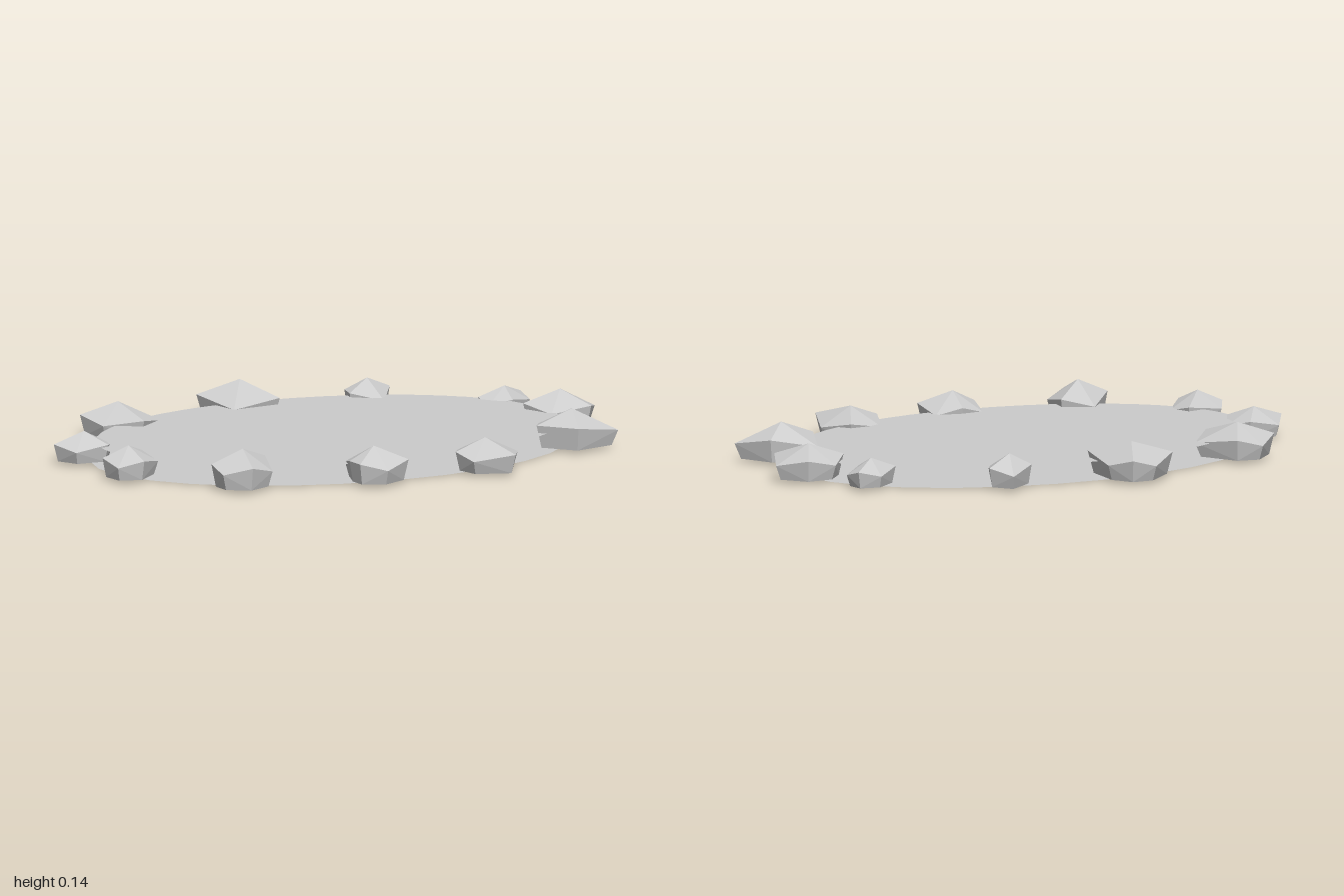
import * as THREE from 'three';
import { ConvexGeometry } from 'three/addons/geometries/ConvexGeometry.js';

const stone = new THREE.MeshStandardMaterial({ color: 0xcccccc, side: THREE.DoubleSide });
stone.name = 'pale grey';

// Flat horizontal ellipse
function disc(name, x, y, z, rx, rz, sides) {
  const geo = new THREE.CircleGeometry(1, sides).rotateX(-Math.PI / 2).scale(rx, 1, rz);
  const mesh = new THREE.Mesh(geo, stone);
  mesh.name = name;
  mesh.position.set(x, y, z);
  return mesh;
}

// Faceted stone: a zigzag rim, a flat narrower base and a low peak
function rock(name, top, outline) {
  const n = outline.length;
  const cx = outline.reduce((s, p) => s + p[0], 0) / n;
  const cz = outline.reduce((s, p) => s + p[1], 0) / n;
  const base = 0.012;
  const points = [new THREE.Vector3(cx, top, cz)];
  outline.forEach(([x, z], i) => {
    const rim = base + (top - base) * (i % 2 ? 0.42 : 0.62);
    points.push(new THREE.Vector3(x, rim, z));
    points.push(new THREE.Vector3(cx + (x - cx) * 0.86, base, cz + (z - cz) * 0.86));
  });
  const mesh = new THREE.Mesh(new ConvexGeometry(points), stone);
  mesh.name = name;
  return mesh;
}

export function createModel() {
  const pond = new THREE.Group();
  pond.name = 'pond';

  // Pond bed and water surface
  pond.add(disc('pondBed', -0.02, 0, 0.02, 0.862, 0.58, 28));
  pond.add(disc('waterSurface', -0.02, 0.065, 0.017, 0.84, 0.568, 48));

  // Floating pads
  [[-0.31, 0.08, 0.067], [-0.13, -0.23, 0.05], [0.04, 0.17, 0.058], [0.23, -0.145, 0.084]]
    .forEach(([x, z, r], i) => pond.add(disc('pad' + (i + 1), x, 0.073, z, r, r, 24)));

  // Ring of stones: back, clockwise seen from above
  pond.add(
    rock('backRock', 0.135, [[-0.24, -0.63], [-0.11, -0.735], [-0.02, -0.73], [0.025, -0.64], [0, -0.46], [-0.18, -0.44]]),
    rock('backLeftRock', 0.12, [[0.28, -0.55], [0.4, -0.63], [0.45, -0.55], [0.37, -0.41], [0.27, -0.48]]),
    rock('leftBackRock', 0.105, [[0.67, -0.29], [0.77, -0.36], [0.85, -0.34], [0.855, -0.27], [0.76, -0.2], [0.68, -0.22]]),
    rock('leftRock', 0.13, [[0.74, -0.06], [0.82, -0.14], [0.93, -0.14], [1, -0.04], [0.94, 0.07], [0.8, 0.05]]),
    rock('leftFrontRock', 0.14, [[0.62, 0.34], [0.69, 0.19], [0.84, 0.26], [0.9, 0.4], [0.73, 0.45]]),
    rock('frontLeftRock', 0.12, [[0.21, 0.59], [0.27, 0.46], [0.4, 0.45], [0.455, 0.56], [0.38, 0.72], [0.24, 0.68]]),
    rock('frontRock', 0.13, [[-0.2, 0.62], [-0.17, 0.51], [-0.08, 0.5], [0.01, 0.53], [0, 0.67], [-0.1, 0.725], [-0.19, 0.69]]),
    rock('frontRightRock', 0.14, [[-0.67, 0.51], [-0.54, 0.38], [-0.44, 0.44], [-0.475, 0.59], [-0.57, 0.64], [-0.66, 0.59]]),
    rock('rightFrontRock', 0.12, [[-0.95, 0.21], [-0.92, 0.165], [-0.77, 0.135], [-0.75, 0.23], [-0.84, 0.32], [-0.93, 0.3]]),
    rock('rightRock', 0.11, [[-1, -0.1], [-0.93, -0.2], [-0.82, -0.19], [-0.775, -0.11], [-0.83, -0.02], [-0.95, -0.02]]),
    rock('backRightRock', 0.13, [[-0.74, -0.48], [-0.64, -0.57], [-0.55, -0.55], [-0.475, -0.39], [-0.58, -0.29], [-0.7, -0.37]]),
  );
  return pond;
}
